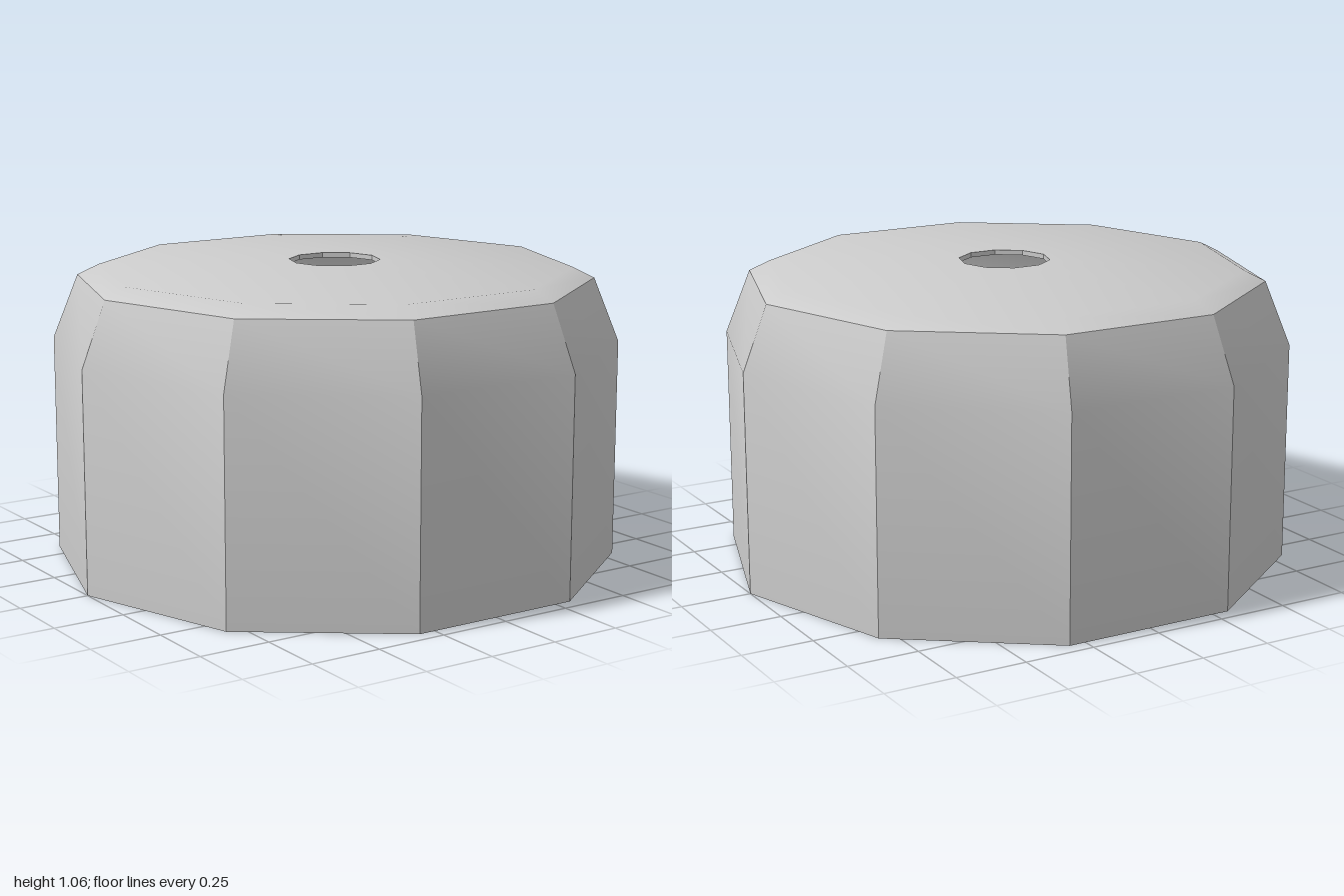
import * as THREE from 'three';
import { toCreasedNormals } from 'three/addons/utils/BufferGeometryUtils.js';

export function createModel() {
  const group = new THREE.Group();
  group.name = 'cap';

  // Closed shell profile (radius, height): outside going up, then inside going down
  const profile = [
    [1, 0], [1, 0.775], [0.91, 1], [0.835, 1.037], [0.16, 1.06],
    [0.16, 1.043], [0.825, 1.02], [0.896, 0.987], [0.985, 0.772], [0.985, 0], [1, 0],
  ].map(([r, y]) => new THREE.Vector2(r, y));

  // Ten-sided shell with a corner on the x axis; wall facets stay crisp, bevels blend
  const geometry = toCreasedNormals(
    new THREE.LatheGeometry(profile, 10, Math.PI / 2),
    THREE.MathUtils.degToRad(30),
  );
  const shell = new THREE.Mesh(geometry, new THREE.MeshStandardMaterial({ color: 0xcccccc }));
  shell.name = 'capShell';
  group.add(shell);

  return group;
}
